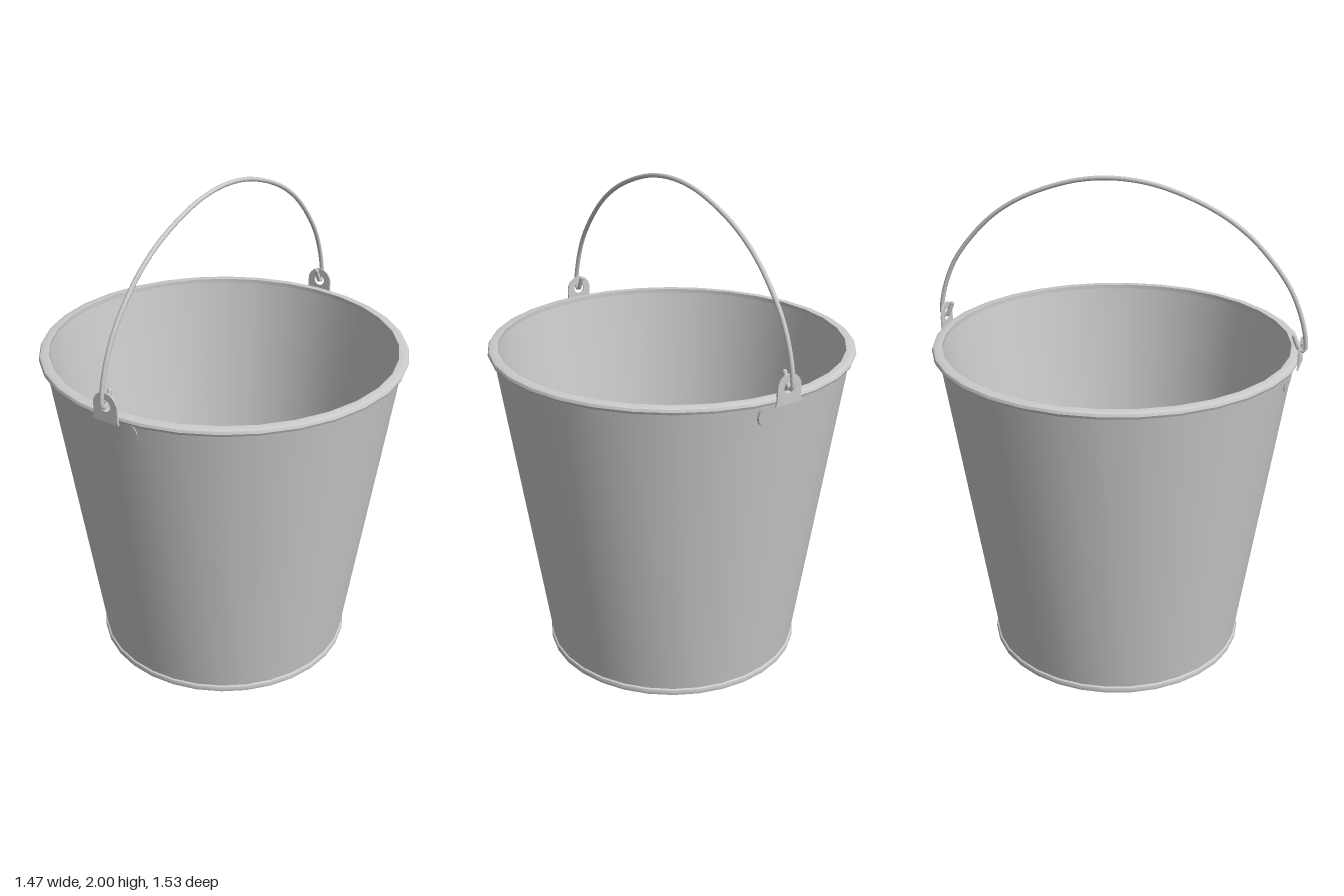
import * as THREE from 'three';
import { toCreasedNormals } from 'three/addons/utils/BufferGeometryUtils.js';

const SEGMENTS = 32;
const metal = new THREE.MeshStandardMaterial({ color: 0xcccccc });

// Outer wall radius at a given height
const wallRadius = (y) => 0.52 + 0.194 * (y / 1.32);

function add(parent, name, geometry) {
  const mesh = new THREE.Mesh(geometry, metal);
  mesh.name = name;
  parent.add(mesh);
  return mesh;
}

function lathe(profile) {
  const points = profile.map(([r, y]) => new THREE.Vector2(r, y));
  return toCreasedNormals(new THREE.LatheGeometry(points, SEGMENTS), 0.6);
}

// Upright tab with a round top and a hole for the handle
function tabGeometry() {
  const shape = new THREE.Shape();
  shape.moveTo(-0.06, 1.31);
  shape.lineTo(0.06, 1.31);
  shape.lineTo(0.054, 1.33);
  shape.lineTo(0.054, 1.372);
  shape.absarc(0, 1.372, 0.054, 0, Math.PI, false);
  shape.lineTo(-0.054, 1.33);
  const hole = new THREE.Path();
  hole.absarc(0, 1.375, 0.024, 0, Math.PI * 2, true);
  shape.holes.push(hole);
  return new THREE.ExtrudeGeometry(shape, { depth: 0.006, bevelEnabled: false, curveSegments: 12 });
}

// Rounded mounting plate, built as strips and bent onto the tapered wall
function plateGeometry(offset) {
  const [halfWidth, bottom, top, corner, columns] = [0.11, 1.225, 1.318, 0.045, 16];
  const positions = [];
  const index = [];
  for (let i = 0; i <= columns; i++) {
    const x = -halfWidth * Math.cos((Math.PI * i) / columns);
    const c = Math.max(0, Math.abs(x) - (halfWidth - corner));
    const inset = corner - Math.sqrt(Math.max(0, corner * corner - c * c));
    for (const [y, lift] of [[bottom + inset, -0.006], [bottom + inset, offset],
      [top - inset, offset], [top - inset, -0.006]]) {
      const r = wallRadius(y) + lift;
      positions.push(x, y, Math.sqrt(r * r - x * x));
    }
    if (i === columns) continue;
    for (let k = 0; k < 3; k++) {
      const a = i * 4 + k;
      index.push(a, a + 4, a + 5, a, a + 5, a + 1);
    }
  }
  const geometry = new THREE.BufferGeometry();
  geometry.setAttribute('position', new THREE.Float32BufferAttribute(positions, 3));
  geometry.setIndex(index);
  return toCreasedNormals(geometry, 0.6);
}

export function createModel() {
  const bucket = new THREE.Group();
  bucket.name = 'bucket';

  // Tapered shell with a floor, one closed profile
  add(bucket, 'shell', lathe([
    [0, 0.01], [0.52, 0.01], [wallRadius(1.32), 1.32],
    [0.696, 1.325], [0.508, 0.025], [0, 0.025],
  ]));

  // Rolled rim and foot bead
  add(bucket, 'rim', lathe([
    [0.696, 1.318], [0.724, 1.315], [0.732, 1.318], [0.736, 1.328],
    [0.732, 1.338], [0.724, 1.342], [0.696, 1.342], [0.696, 1.318],
  ]));
  add(bucket, 'footRing', lathe([
    [0.512, 0.004], [0.522, 0], [0.529, 0.005], [0.532, 0.016],
    [0.529, 0.027], [0.52, 0.032],
  ]));

  // Handle ears on front and back; the front plate sits almost flush
  for (const [name, angle, lift] of [['frontEar', 0, 0.001], ['backEar', Math.PI, 0.008]]) {
    const ear = new THREE.Group();
    ear.name = name;
    ear.rotation.y = angle;
    add(ear, 'tab', tabGeometry()).position.z = 0.733;
    add(ear, 'plate', plateGeometry(lift));
    bucket.add(ear);
  }

  // Wire handle with hooked ends passing through the ears
  const half = [
    [0.708, 1.425], [0.722, 1.392], [0.738, 1.37], [0.752, 1.375], [0.753, 1.415],
    [0.73, 1.51], [0.686, 1.61], [0.618, 1.705], [0.52, 1.805], [0.41, 1.88],
    [0.28, 1.938], [0.14, 1.978],
  ];
  const path = [...half, [0, 1.991], ...half.map(([z, y]) => [-z, y]).reverse()];
  const curve = new THREE.CatmullRomCurve3(path.map(([z, y]) => new THREE.Vector3(0, y, z)));
  add(bucket, 'handle', new THREE.TubeGeometry(curve, 160, 0.009, 10));

  // Caps on the wire ends
  for (const side of [1, -1]) {
    add(bucket, 'handleTip', new THREE.SphereGeometry(0.009, 10, 6))
      .position.set(0, half[0][1], side * half[0][0]);
  }
  return bucket;
}
